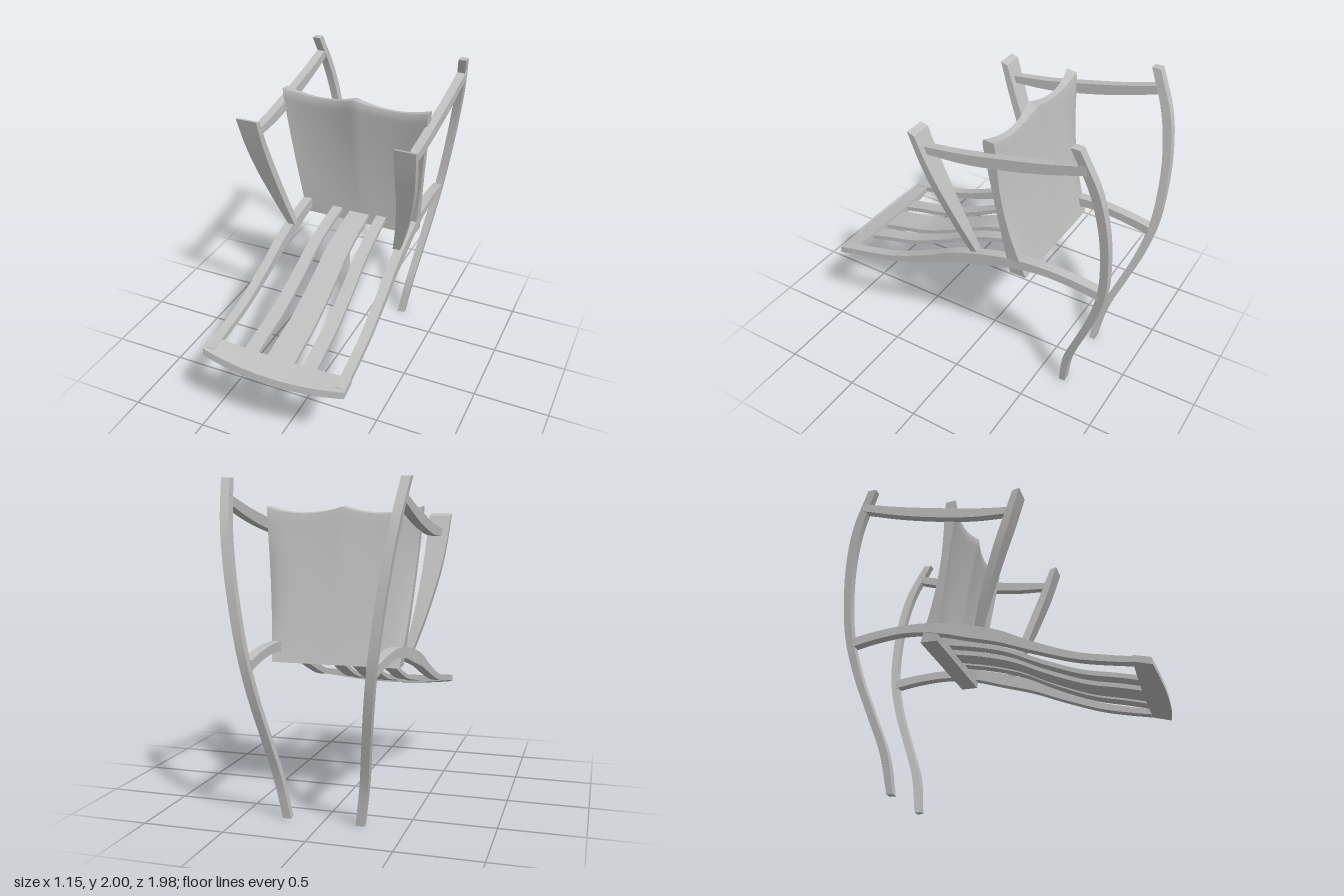
import * as THREE from 'three';
import { toCreasedNormals } from 'three/addons/utils/BufferGeometryUtils.js';

const grey = new THREE.MeshStandardMaterial({ color: 0xc0c0c0 });
grey.name = 'plain grey';

// Closed solid through rings of equal (even) length; ends capped by pairing i with n-1-i.
function loft(rings) {
  const n = rings[0].length, pos = rings.flat(2), idx = [];
  const quad = (a, b, c, d) => idx.push(a, b, c, a, c, d);
  for (let r = 0; r < rings.length - 1; r++) {
    for (let i = 0; i < n; i++) {
      const j = (i + 1) % n, a = r * n, b = a + n;
      quad(a + i, a + j, b + j, b + i);
    }
  }
  const e = (rings.length - 1) * n;
  for (let i = 0; i < n / 2 - 1; i++) {
    quad(i, n - 1 - i, n - 2 - i, i + 1);
    quad(e + i, e + i + 1, e + n - 2 - i, e + n - 1 - i);
  }
  // Turn the faces outward whichever way the rings run
  const v = (i) => new THREE.Vector3().fromArray(pos, i * 3);
  let volume = 0;
  for (let i = 0; i < idx.length; i += 3) {
    volume += v(idx[i]).dot(v(idx[i + 1]).cross(v(idx[i + 2])));
  }
  if (volume < 0) idx.reverse();
  const g = new THREE.BufferGeometry();
  g.setAttribute('position', new THREE.Float32BufferAttribute(pos, 3));
  g.setIndex(idx);
  return toCreasedNormals(g, 0.6);
}

// Smooth bar from stations [zA, yA, zB, yB, xInner, xOuter], A and B being its two edges in profile.
function bar(stations, side = 1, steps = 24) {
  const corner = (z, y, x) => new THREE.CatmullRomCurve3(
    stations.map((s) => new THREE.Vector3(s[x] * side, s[y], s[z])), false, 'catmullrom', 0.5);
  const curves = [corner(0, 1, 4), corner(0, 1, 5), corner(2, 3, 5), corner(2, 3, 4)];
  const rings = [];
  for (let i = 0; i <= steps; i++) rings.push(curves.map((c) => c.getPoint(i / steps).toArray()));
  return loft(rings);
}

// Long leg, leaning outward as it rises: [y, zFront, zBack]
const leg = [
  [0, -0.65, -0.69], [0.25, -0.685, -0.735], [0.5, -0.775, -0.825], [0.75, -0.865, -0.915],
  [1, -0.925, -0.975], [1.25, -0.94, -0.99], [1.5, -0.925, -0.978], [1.75, -0.872, -0.93], [2, -0.77, -0.825],
].map(([y, a, b]) => [a, y, b, y, 0.2 + 0.145 * y, 0.252 + 0.145 * y]);

// Side rail: [z, yTop, yBottom]
const railProfile = [
  [-0.93, 0.995, 0.935], [-0.75, 1.02, 0.965], [-0.55, 1.03, 0.975], [-0.35, 1.015, 0.945], [-0.15, 0.97, 0.885],
  [0.05, 0.905, 0.825], [0.25, 0.805, 0.745], [0.5, 0.7, 0.655], [0.72, 0.645, 0.605], [0.93, 0.605, 0.57],
];
const rail = railProfile.map(([z, t, b]) => {
  const x = 0.33 + 0.04 * (z + 0.93);
  return [z, t, z, b, x, x + 0.062];
});

// Slats follow the rail between the panel and the cross bar
const slat = (back, front, drop) => railProfile.slice(3).map(([z, t]) => {
  const k = (Math.min(z, 0.87) + 0.35) / 1.22;
  const y = t - drop * (1 - 0.3 * k);
  const x = [0, 1].map((i) => back[i] + (front[i] - back[i]) * k);
  return [Math.min(z, 0.87), y, Math.min(z, 0.87), y - 0.03, ...x];
});

const armPost = [
  [-0.07, 0.94, -0.112, 0.955, 0.352, 0.402], [0, 1.15, -0.05, 1.16, 0.39, 0.468],
  [0.09, 1.4, 0.038, 1.41, 0.42, 0.53], [0.162, 1.6, 0.112, 1.6, 0.432, 0.56], [0.225, 1.8, 0.18, 1.785, 0.44, 0.577],
];
const arm = [
  [0.16, 1.7, 0.155, 1.655, 0.478, 0.53], [-0.1, 1.735, -0.1, 1.672, 0.475, 0.53],
  [-0.35, 1.785, -0.35, 1.715, 0.475, 0.53], [-0.6, 1.84, -0.6, 1.775, 0.475, 0.53],
  [-0.86, 1.91, -0.86, 1.855, 0.475, 0.53],
];

// Bowed cross bar joining the rail ends
function crossBar() {
  const rings = [];
  for (let i = 0; i <= 24; i++) {
    const u = i / 12 - 1, x = u * 0.47, c = 1 - u * u;
    rings.push([
      [x, 0.6 - 0.035 * c, 0.95 + 0.035 * c], [x, 0.555 - 0.04 * c, 0.955 + 0.035 * c],
      [x, 0.585 - 0.04 * c, 0.845], [x, 0.625 - 0.02 * c, 0.845],
    ]);
  }
  return loft(rings);
}

// Broad panel: dished front, flat back with thinned side edges, scalloped upper edge
function panel() {
  const rings = [], cols = 32, rows = 28;
  for (let r = 0; r <= rows; r++) {
    const v = r / rows, half = 0.4 + 0.12 * v - 0.03 * v * v;
    const front = [], back = [];
    for (let i = 0; i <= cols; i++) {
      const u = (i / cols) * 2 - 1, a = Math.abs(u);
      const hollow = 1 - (2 * a - 1) ** 2;
      const top = 1.855 - 0.04 * hollow;
      const y = 0.9 + (top - 0.9) * v;
      const lip = Math.max(0, (v - 0.94) / 0.06) ** 2;
      const dish = 0.03 * hollow * v + 0.02 * Math.sin(Math.PI * v) * (1 - a ** 4);
      const thin = 0.03 * Math.sin(Math.PI * Math.min(1, v * 1.1)) * a ** 8;
      front.push([u * half, y - 0.008 * lip, -0.35 + 0.14 * v - dish - 0.012 * lip]);
      back.push([u * half, y - 0.015 * lip, -0.458 + 0.22 * v - 0.05 * v * v + thin]);
    }
    rings.push([...front, ...back.reverse()]);
  }
  return loft(rings);
}

export function createModel() {
  const group = new THREE.Group();
  const add = (name, geometry) => {
    const mesh = new THREE.Mesh(geometry, grey);
    mesh.name = name;
    group.add(mesh);
  };
  // Mirrored frame
  for (const [label, side] of [['left', 1], ['right', -1]]) {
    add(label + 'LongLeg', bar(leg, side, 40));
    add(label + 'SideRail', bar(rail, side, 40));
    add(label + 'ArmPost', bar(armPost, side));
    add(label + 'Arm', bar(arm, side));
    add(label + 'Slat', bar(slat([0.125, 0.195], [0.15, 0.245], 0.025), side));
  }
  add('centreSlat', bar(slat([-0.07, 0.07], [-0.092, 0.092], 0.035)));
  add('crossBar', crossBar());
  add('panel', panel());
  return group;
}
